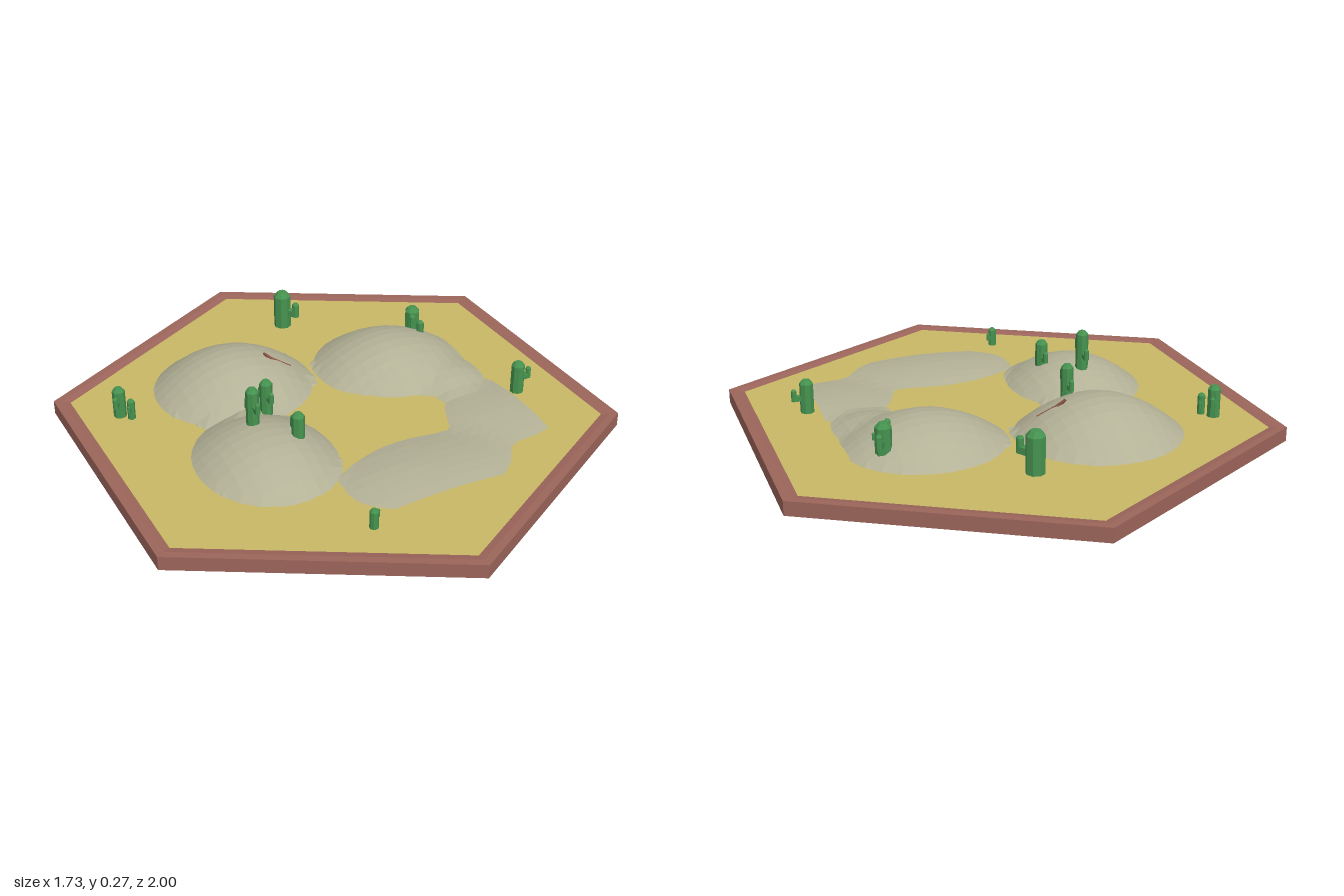
import * as THREE from 'three';

const mat = (name, color, extra = {}) => {
  const m = new THREE.MeshStandardMaterial({ color, flatShading: true, ...extra });
  m.name = name;
  return m;
};

// Dunes as paraboloids: centre x, z, radius x, z, height above the sand
const DUNES = [
  [-0.25, -0.31, 0.29, 0.28, 0.13],
  [-0.35, 0.17, 0.24, 0.28, 0.1],
  [0.33, -0.2, 0.28, 0.26, 0.103],
  [0.46, -0.02, 0.14, 0.16, 0.04],
  [0.1, 0.48, 0.3, 0.19, 0.024],
  [0.52, 0.28, 0.2, 0.19, 0.018],
];
const SAND = 0.045;

// Smooth maximum of all dunes over a buried floor, with a small pit
function duneHeight(x, z) {
  const k = 0.008;
  let sum = Math.exp(0.02 / k);
  for (const [cx, cz, rx, rz, h] of DUNES) {
    const d = ((x - cx) / rx) ** 2 + ((z - cz) / rz) ** 2;
    sum += Math.exp((SAND + h * (1 - d)) / k);
  }
  const pit = ((x - 0.08) / 0.12) ** 2 + ((z - 0.06) / 0.1) ** 2;
  return k * Math.log(sum) - 0.023 * Math.exp(-pit);
}

export function createModel() {
  const model = new THREE.Group();
  const clay = mat('clay rim', 0x9c655b);
  const sand = mat('yellow sand', 0xc9b865);
  const stone = mat('grey dune', 0xb3b196, { side: THREE.DoubleSide });
  const green = mat('cactus green', 0x469350);
  const wood = mat('dead wood', 0x875243);

  const add = (parent, name, geo, material, x = 0, y = 0, z = 0) => {
    const m = new THREE.Mesh(geo, material);
    m.name = name;
    m.position.set(x, y, z);
    parent.add(m);
    return m;
  };

  // Hexagonal tray with a stepped rim
  const profile = [[0, 0], [1, 0], [1, 0.05], [0.97, 0.05], [0.94, SAND]];
  add(model, 'tray', new THREE.LatheGeometry(profile.map(p => new THREE.Vector2(...p)), 6), clay);
  const floor = new THREE.CircleGeometry(0.942, 6, Math.PI / 2);
  floor.rotateX(-Math.PI / 2);
  add(model, 'sandFloor', floor, sand, 0, SAND, 0);

  // Dune sheet
  const sheet = new THREE.PlaneGeometry(1.2, 1.22, 26, 26);
  sheet.rotateX(-Math.PI / 2);
  sheet.translate(0, 0, 0.01);
  const p = sheet.attributes.position;
  for (let i = 0; i < p.count; i++) p.setY(i, duneHeight(p.getX(i), p.getZ(i)));
  add(model, 'dunes', sheet, stone);

  // Upright stem with chamfered corners and top
  const stem = (parent, name, w, h, x, y, z) => {
    const r = w / 2 / Math.cos(Math.PI / 8);
    const c = w * 0.3;
    const pts = [[0, 0], [r, 0], [r, h - c], [r * 0.55, h], [0, h]].map(q => new THREE.Vector2(...q));
    const geo = new THREE.LatheGeometry(pts, 8, Math.PI / 8);
    add(parent, name, geo, green, x, y, z);
  };

  // Cactus: arms is a list of sides (+1 / -1) along local x
  const cactus = (x, z, bottom, top, w, turn, arms) => {
    const g = new THREE.Group();
    g.name = 'cactus';
    g.position.set(x, bottom, z);
    g.rotation.y = turn;
    const h = top - bottom;
    stem(g, 'trunk', w, h, 0, 0, 0);
    arms.forEach((s, i) => {
      const y = h * (0.45 + 0.12 * i);
      const a = w * 0.4;
      const reach = w * 1.0;
      add(g, 'armJoint', new THREE.BoxGeometry(reach, a, a), green, s * reach / 2, y, 0);
      stem(g, 'armTip', a, w * 0.95, s * reach, y - a / 2, 0);
    });
    model.add(g);
  };
  const Q = Math.PI / 2;
  cactus(-0.35, 0.08, 0.11, 0.272, 0.042, Q, [1, -1]);
  cactus(-0.24, 0.2, 0.09, 0.21, 0.042, Q, [1]);
  cactus(-0.24, -0.05, 0.06, 0.202, 0.042, Q, [1, -1]);
  cactus(0.64, 0.2, 0.045, 0.165, 0.045, 0, [1]);
  cactus(0.09, -0.6, 0.068, 0.212, 0.06, -1.0, [1]);
  cactus(0.5, -0.31, 0.07, 0.182, 0.052, 1.05, [1, -1]);
  cactus(0.5, -0.25, 0.08, 0.15, 0.025, 0.6, [1]);
  cactus(-0.685, -0.31, 0.045, 0.158, 0.042, 0.95, [1, -1]);
  cactus(-0.655, -0.275, 0.045, 0.12, 0.025, 0.9, [1, -1]);
  cactus(-0.212, 0.67, 0.045, 0.115, 0.028, 0.6, [1]);

  // Dead branch with a fork
  const twig = (name, a, b, r0, r1) => {
    const A = new THREE.Vector3(...a), B = new THREE.Vector3(...b);
    const dir = B.clone().sub(A);
    const m = add(model, name, new THREE.CylinderGeometry(r1, r0, dir.length(), 5), wood);
    m.position.copy(A).lerp(B, 0.5);
    m.quaternion.setFromUnitVectors(new THREE.Vector3(0, 1, 0), dir.normalize());
  };
  twig('branch', [-0.05, 0.1, -0.25], [-0.115, 0.138, -0.27], 0.008, 0.009);
  twig('branchTip', [-0.115, 0.138, -0.27], [-0.14, 0.165, -0.28], 0.009, 0.005);
  twig('branchFork', [-0.11, 0.138, -0.27], [-0.135, 0.105, -0.275], 0.008, 0.005);
  return model;
}
